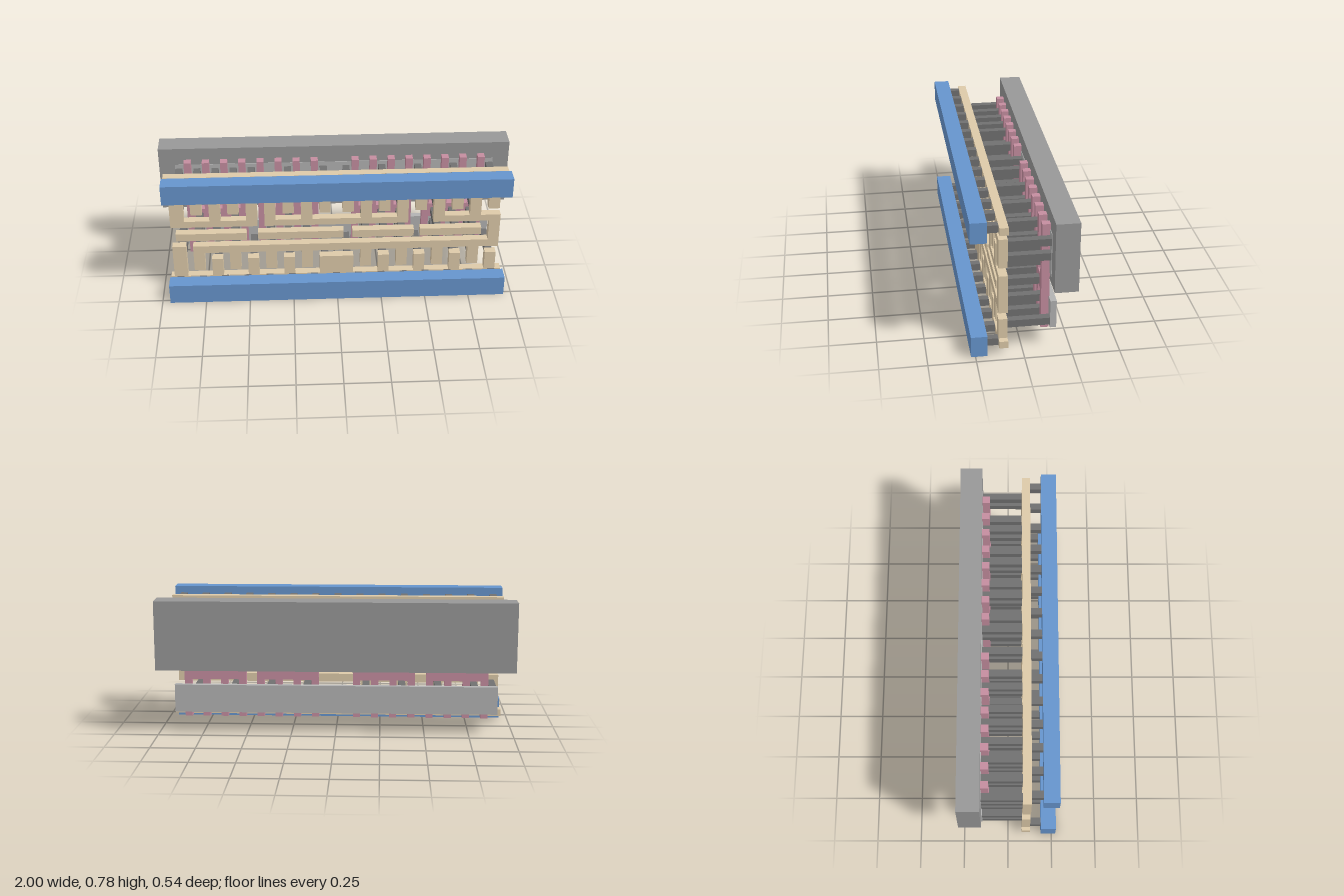
import * as THREE from 'three';

const mat = (color) => new THREE.MeshStandardMaterial({ color });

export function createModel() {
  const model = new THREE.Group();
  const mats = {
    blue: mat(0x6694cc), tan: mat(0xdcc9a8), pink: mat(0xc48d9f),
    dark: mat(0x707070), well: mat(0x979797), pale: mat(0xb2b2b2),
  };

  // box given by its limits on each axis
  function block(name, m, x0, x1, y0, y1, z0, z1) {
    const mesh = new THREE.Mesh(new THREE.BoxGeometry(x1 - x0, y1 - y0, z1 - z0), mats[m]);
    mesh.position.set((x0 + x1) / 2, (y0 + y1) / 2, (z0 + z1) / 2);
    mesh.name = name;
    model.add(mesh);
  }
  const wire = (name, x0, x1, y0, y1) => block(name, 'tan', x0, x1, y0, y1, 0.079, 0.126);
  const pin = (name, x, y, z0, z1) => block(name, 'dark', x - 0.02, x + 0.02, y - 0.0205, y + 0.0205, z0, z1);

  // columns between the gates: 0..8 on the right half of the sheet, 9..17 on the other
  const pitch = 0.103, half = 0.0315;
  const colX = (i) => (i < 9 ? -0.889 + pitch * i : 0.065 + pitch * (i - 9));
  const tooth = (name, i, y0, y1) => wire(name, colX(i) - half, colX(i) + half, y0, y1);
  const contacts = (i, ys) => ys.forEach((y) => pin('contact', colX(i), y, -0.146, 0.079));

  // back slab and the two flat strips
  block('backSlab', 'well', -1, 1, 0.378, 0.768, -0.272, -0.148);
  block('upperStrip', 'pale', -0.91, 0.91, 0.42, 0.665, -0.178, -0.145);
  block('lowerStrip', 'pale', -0.91, 0.91, 0.117, 0.275, -0.178, -0.145);

  // front beams with their rails and short pegs
  [[0, 0.118, 0.04, 0.08], [0.664, 0.78, 0.701, 0.743]].forEach(([y0, y1, r0, r1]) => {
    block('frontBeam', 'blue', -0.955, 0.955, y0, y1, 0.187, 0.273);
    wire('rail', -0.955, 0.955, r0, r1);
    for (let i = 0; i < 15; i++) pin('peg', -0.9 + i * 1.8 / 14, (r0 + r1) / 2, 0.126, 0.187);
  });

  // four combs of four upright fingers, each with a crossbar and a front bar
  const frontBars = [[-0.91, -0.51], [-0.445, 0.04], [0.09, 0.44], [0.475, 0.825]];
  frontBars.forEach(([b0, b1], g) => {
    const first = (g < 2 ? -0.8375 : 0.1165) + (g % 2) * 4 * pitch;
    for (let i = 0; i < 4; i++) {
      const x = first + i * pitch;
      block('finger', 'pink', x - 0.02, x + 0.02, 0.087, 0.697, -0.148, -0.105);
      if (i < 3) {
        block('fingerCrossbar', 'pink', x + 0.02, x + pitch - 0.02, 0.302, 0.388, -0.148, -0.105);
        pin('crossbarPin', x + pitch / 2, 0.3425, -0.105, 0.079);
      }
    }
    wire('frontBar', b0, b1, 0.323, 0.37);
  });

  // upper lattice: teeth hang from the rail, stand on the low bar or hang from the high bar
  for (let i = 0; i < 18; i++) {
    const k = i < 9 ? i : i - 9;
    if (i < 5 && k % 2 === 1) {
      tooth('railTooth', i, 0.497, 0.701);
      contacts(i, [0.62, 0.538]);
    } else if (i < 5) {
      tooth('tallTooth', i, 0.455, 0.66);
      contacts(i, [0.62, 0.538, 0.455]);
    } else if (k % 2 === 1) {
      tooth('standingTooth', i, 0.455, 0.58);
      contacts(i, [0.538, 0.455]);
    } else {
      tooth('hangingTooth', i, 0.497, 0.62);
      contacts(i, [0.62, 0.538]);
    }
  }
  wire('endTooth', -0.935, colX(0) - half, 0.455, 0.66);
  wire('lowBar', -0.935, colX(4) + half, 0.415, 0.455);
  wire('lowBar', colX(5) - half, colX(12) + half, 0.415, 0.455);
  wire('lowBar', colX(14) - half, 0.93, 0.415, 0.455);
  wire('highBar', colX(4) + half, -0.02, 0.62, 0.66);
  wire('highBar', 0.022, colX(17) + half, 0.62, 0.66);

  // lower lattice: teeth rise from the bottom rail between teeth of the long bar
  for (let i = 0; i < 18; i++) {
    const k = i < 9 ? i : i - 9;
    if (k % 2 === 1) {
      tooth('longBarTooth', i, 0.12, 0.238);
      contacts(i, [0.238, 0.155]);
    } else {
      tooth('risingTooth', i, 0.08, i === 0 ? 0.285 : 0.195);
      contacts(i, i === 0 ? [0.238, 0.155] : [0.155]);
    }
  }
  wire('endTooth', -0.935, colX(0) - half, 0.08, 0.285);
  wire('middleTooth', colX(8) + half, colX(9) - half, 0.08, 0.195);
  wire('longBar', colX(1) - half, 0.93, 0.238, 0.285);
  wire('endLink', 0.867, 0.93, 0.285, 0.415);

  return model;
}
